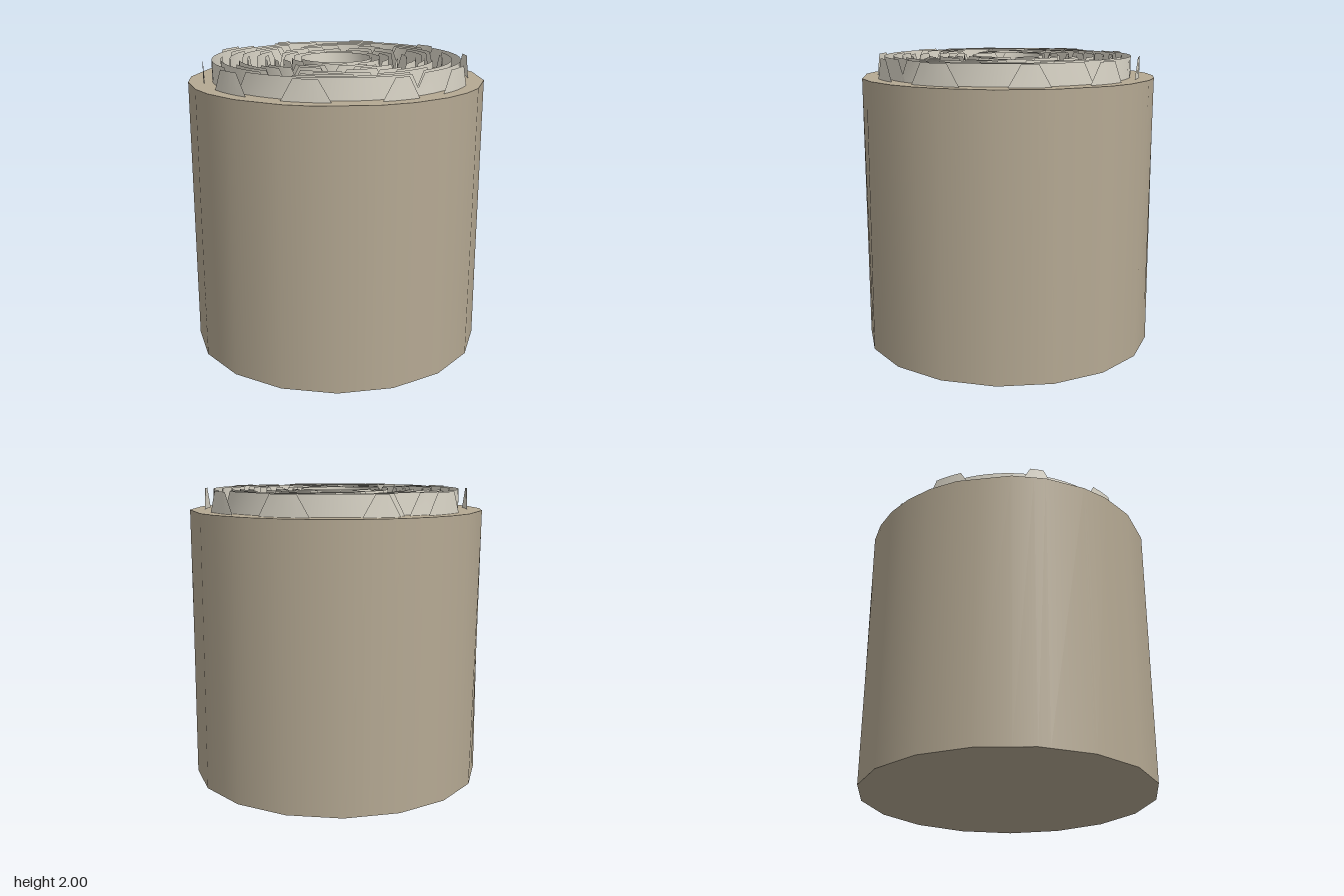
import * as THREE from 'three';

const RAD = Math.PI / 180;
const RIM = 1.86, TOP = 2;

// Point on a circle; degrees run clockwise from the back, seen from above
const polar = (deg, r, y) => new THREE.Vector3(Math.sin(deg * RAD) * r, y, -Math.cos(deg * RAD) * r);

// Corner angles of the slightly uneven rim and the coarser foot of the drum
const RIM_CORNERS = [0, 11.25, 22.5, 33.75, 45, 56.25, 67.5, 84, 95, 118, 139, 157.5, 168.75, 180,
  195, 208.5, 231, 242, 261, 276, 287, 303, 316, 337, 348.75];
const FOOT_CORNERS = Array.from({ length: 17 }, (_, i) => 11 + i * 360 / 17);

// Broken walls from the inside out: pieces, covered share, start angle
const RINGS = [
  [2, 0.9, 130], [6, 0.62, -30], [8, 0.55, -35], [7, 0.4, -20], [6, 0.42, 55], [6, 0.4, 75],
  [9, 0.5, -20], [6, 0.6, -35], [8, 0.62, -55], [5, 0.8, -28], [4, 0.88, -80], [10, 0.25, 14],
];

function toGeometry(positions, index) {
  const g = new THREE.BufferGeometry();
  g.setAttribute('position', new THREE.Float32BufferAttribute(positions, 3));
  g.setIndex(index);
  g.computeVertexNormals();
  return g;
}

// Point at a given angle on the straight chords between corner angles
function onOutline(corners, deg, y) {
  const n = corners.length;
  let i = corners.findIndex((c) => c > deg);
  if (i < 0) i = n;
  const a = i === 0 ? corners[n - 1] - 360 : corners[i - 1];
  const b = i === n ? corners[0] + 360 : corners[i];
  const half = (b - a) / 2;
  return polar(deg, Math.cos(half * RAD) / Math.cos((deg - a - half) * RAD), y);
}

// Triangles for a strip of n quads between alternating lower and upper points
function stripIndex(n) {
  const index = [];
  for (let k = 0; k < 2 * n; k += 2) index.push(k, k + 1, k + 2, k + 1, k + 3, k + 2);
  return index;
}

// Drum side with smooth radial shading, lofted from foot to rim
function drumSide() {
  const angles = [...new Set([...RIM_CORNERS, ...FOOT_CORNERS])].sort((a, b) => a - b);
  angles.push(360);
  const pos = [], normals = [];
  angles.forEach((angle) => {
    const deg = angle % 360;
    const n = polar(deg, 1, 0);
    pos.push(...onOutline(FOOT_CORNERS, deg, 0), ...onOutline(RIM_CORNERS, deg, RIM));
    normals.push(...n, ...n);
  });
  const g = toGeometry(pos, stripIndex(angles.length - 1));
  g.setAttribute('normal', new THREE.Float32BufferAttribute(normals, 3));
  return g;
}

// Flat end of the drum
function drumCap(corners, y) {
  const pos = [0, y, 0], index = [];
  corners.forEach((deg, i) => {
    pos.push(...polar(deg, 1, y));
    const a = i + 1, b = (i + 1) % corners.length + 1;
    index.push(...(y > 0 ? [0, b, a] : [0, a, b]));
  });
  return toGeometry(pos, index);
}

// Thin curved wall piece whose ends slope out towards its base
function wallPiece(r, start, end) {
  const slope = 0.08 / r / RAD;
  const n = Math.max(2, Math.ceil((end - start + 2 * slope) / 6));
  const pos = [];
  for (let i = 0; i <= n; i++) {
    const t = i / n;
    pos.push(...polar(THREE.MathUtils.lerp(start - slope, end + slope, t), r, RIM));
    pos.push(...polar(THREE.MathUtils.lerp(start, end, t), r, TOP));
  }
  return toGeometry(pos, stripIndex(n));
}

export function createModel() {
  const model = new THREE.Group();
  const drumMat = new THREE.MeshStandardMaterial({ color: 0xb5a993 });
  const wallMat = new THREE.MeshStandardMaterial({ color: 0xddd8ca, side: THREE.DoubleSide });
  const add = (parent, name, geometry, material) => {
    const mesh = new THREE.Mesh(geometry, material);
    mesh.name = name;
    parent.add(mesh);
  };

  // Drum
  add(model, 'drumSide', drumSide(), drumMat);
  add(model, 'drumTop', drumCap(RIM_CORNERS, RIM), drumMat);
  add(model, 'drumBottom', drumCap(FOOT_CORNERS, 0), drumMat);

  // Concentric broken walls on the top, with pieces of uneven length
  RINGS.forEach(([pieces, share, phase], i) => {
    const ring = new THREE.Group();
    ring.name = `ring${i + 1}`;
    const pitch = 360 / pieces;
    for (let k = 0; k < pieces; k++) {
      const start = phase + k * pitch;
      const uneven = 1 + 0.5 * (1 - share) * Math.sin(k * 2.4 + i);
      add(ring, 'wallPiece', wallPiece(0.24 + 0.06 * i, start, start + pitch * share * uneven), wallMat);
    }
    model.add(ring);
  });
  return model;
}
